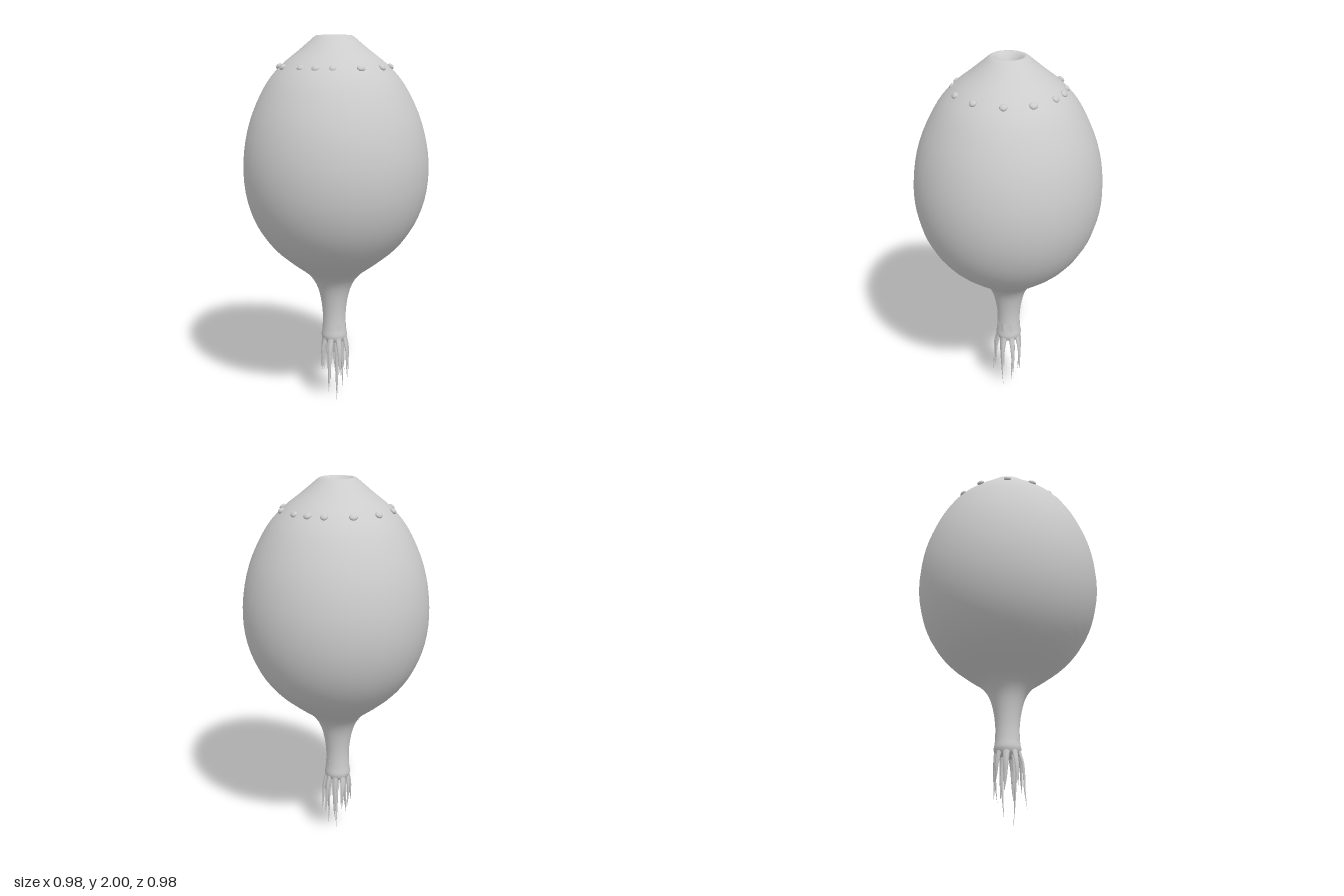
import * as THREE from 'three';

const skin = new THREE.MeshStandardMaterial({ color: 0xcccccc });
skin.name = 'pale grey skin';

// Body, stalk and recessed crown: smooth profile [radius, y], bottom to top
const PROFILE = [
  [0.001, 0.37], [0.05, 0.345], [0.07, 0.375], [0.065, 0.42], [0.063, 0.5], [0.074, 0.59],
  [0.098, 0.67], [0.145, 0.735], [0.225, 0.795], [0.335, 0.89], [0.42, 1.01],
  [0.472, 1.15], [0.49, 1.3], [0.477, 1.45], [0.435, 1.6], [0.36, 1.75],
  [0.28, 1.845], [0.19, 1.918], [0.13, 1.968], [0.098, 1.994], [0.078, 1.998],
  [0.055, 1.975], [0.035, 1.945], [0.001, 1.935],
];

// The narrow ends lean slightly to -x
const lean = (r) => -0.01 * (1 - (r / 0.49) ** 2);

function bodyGeometry() {
  const curve = new THREE.SplineCurve(PROFILE.map(([r, y]) => new THREE.Vector2(r, y)));
  const points = curve.getPoints(69).map((p) => new THREE.Vector2(Math.max(p.x, 0), p.y));
  const geo = new THREE.LatheGeometry(points, 36);
  const pos = geo.attributes.position;
  for (let i = 0; i < pos.count; i++) {
    const x = pos.getX(i);
    pos.setX(i, x + lean(Math.hypot(x, pos.getZ(i))));
  }
  return geo;
}

// Flattened root that leaves the stalk, bows outward and tapers to its tip
function rootGeometry(angle, startRadius, width, tip) {
  const out = new THREE.Vector3(Math.sin(angle), 0, Math.cos(angle));
  const side = new THREE.Vector3(Math.cos(angle), 0, -Math.sin(angle));
  const at = (r, y) => out.clone().multiplyScalar(r).setY(y);
  const end = new THREE.Vector3(...tip);
  const path = new THREE.CatmullRomCurve3([
    at(startRadius, 0.46),
    at(startRadius + 0.006, 0.38),
    at(startRadius + 0.02, 0.3).lerp(new THREE.Vector3(end.x, 0.3, end.z), 0.3),
    end.clone().lerp(at(startRadius + 0.02, 0.3), 0.4),
    end,
  ]);
  const geo = new THREE.CylinderGeometry(1, 1, 1, 8, 14);
  const pos = geo.attributes.position;
  const v = new THREE.Vector3();
  for (let i = 0; i < pos.count; i++) {
    v.fromBufferAttribute(pos, i);
    const t = 0.5 - v.y;
    const taper = Math.max(0.02, 1 - t ** 1.5);
    const p = path.getPoint(t)
      .addScaledVector(side, v.x * width * taper)
      .addScaledVector(out, v.z * 0.011 * taper);
    pos.setXYZ(i, p.x, p.y, p.z);
  }
  geo.computeVertexNormals();
  return geo;
}

// Roots: [angle in degrees, start radius, half width, tip]
const ROOTS = [
  [0, 0.052, 0.021, [0, 0.07, 0.1]],
  [40, 0.052, 0.02, [0.055, 0.16, 0.06]],
  [85, 0.052, 0.022, [0.078, 0.13, 0.01]],
  [128, 0.052, 0.02, [0.065, 0.14, -0.055]],
  [165, 0.052, 0.02, [0.03, 0.14, -0.08]],
  [200, 0.052, 0.02, [-0.01, 0.11, -0.05]],
  [240, 0.052, 0.021, [-0.05, 0.2, -0.05]],
  [280, 0.052, 0.022, [-0.06, 0.155, 0]],
  [320, 0.052, 0.021, [-0.05, 0.18, 0.07]],
  [35, 0.028, 0.02, [0.022, 0, 0.025]],
  [150, 0.028, 0.018, [0.04, 0.05, -0.03]],
  [335, 0.028, 0.018, [-0.01, 0.11, 0.03]],
];

// Studs around the crown: [x, z, half width], mirrored on both axes
const STUDS = [[0, 0.282, 0.022], [0.085, 0.268, 0.02], [0.207, 0.2, 0.022], [0.279, 0.077, 0.02]];

export function createModel() {
  const model = new THREE.Group();
  const add = (parent, name, geo) => {
    const mesh = new THREE.Mesh(geo, skin);
    mesh.name = name;
    parent.add(mesh);
    return mesh;
  };

  add(model, 'body', bodyGeometry());

  const roots = new THREE.Group();
  roots.name = 'roots';
  roots.position.x = -0.008;
  for (const [deg, start, width, tip] of ROOTS) {
    add(roots, 'root', rootGeometry(THREE.MathUtils.degToRad(deg), start, width, tip));
  }
  model.add(roots);

  const studs = new THREE.Group();
  studs.name = 'studs';
  studs.position.set(-0.008, 0, -0.003);
  const studGeo = new THREE.SphereGeometry(1, 12, 8);
  for (const [x, z, size] of STUDS) {
    for (const sx of x === 0 ? [1] : [1, -1]) {
      for (const sz of [1, -1]) {
        const stud = add(studs, 'stud', studGeo);
        stud.position.set(x * sx, 1.841, z * sz);
        stud.scale.set(size, 0.018, 0.012);
        // Lie flat on the sloping shoulder
        stud.rotation.set(-0.85, Math.atan2(x * sx, z * sz), 0, 'YXZ');
      }
    }
  }
  model.add(studs);
  return model;
}
